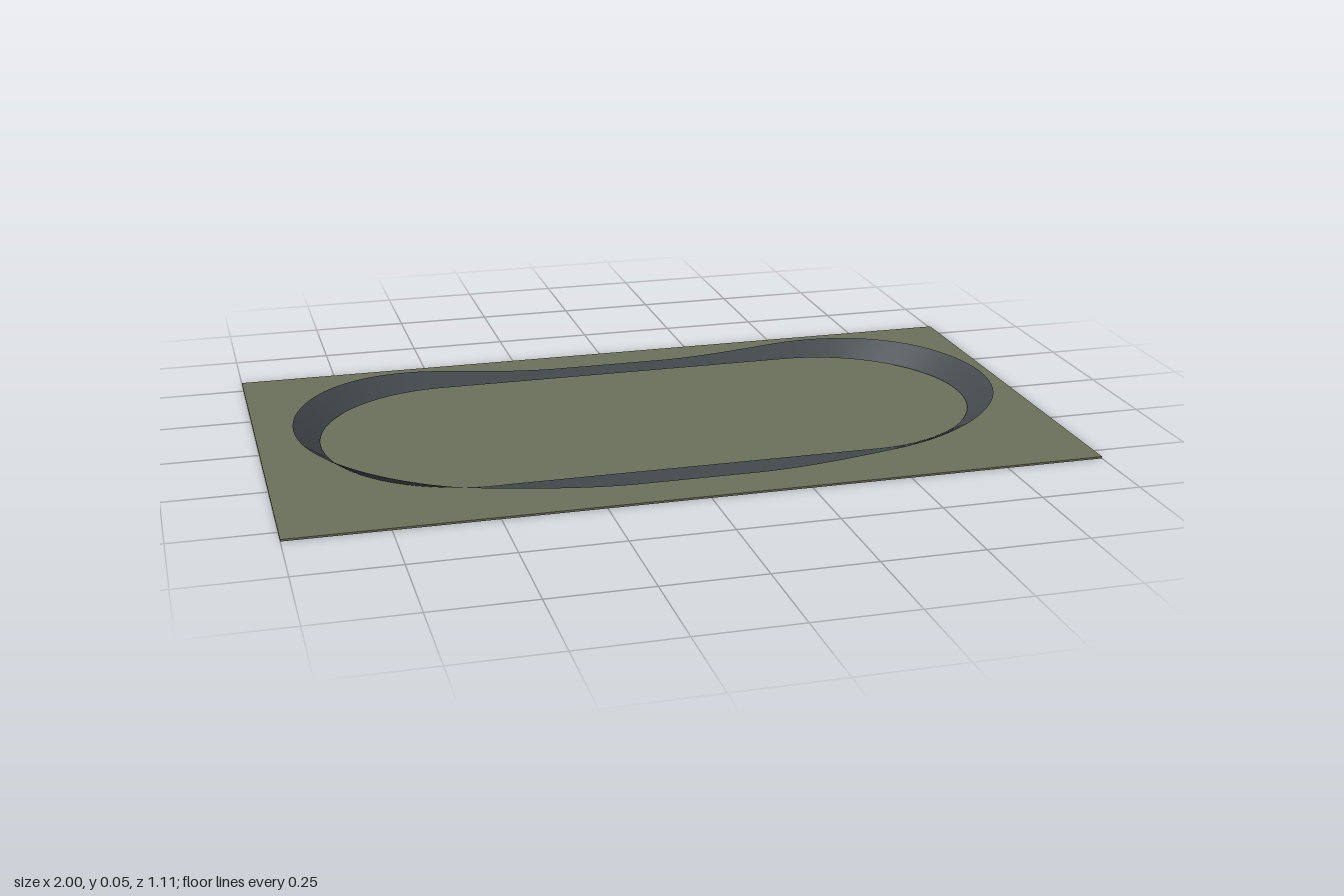
import * as THREE from 'three';

const HALF_STRAIGHT = 0.482; // half length of each straight
const RADIUS = 0.366;        // inner radius of the turns
const WIDTH = 0.08;          // width of the road surface
const MAX_BANK = 0.62;       // bank angle in the turns, radians
const GROUND = 0.005;
const ROAD_Y = 0.008;

// Half of the oval: a banked ribbon from one turn apex to the other
function halfTrack() {
  const quarter = HALF_STRAIGHT + RADIUS * Math.PI / 2;
  const steps = 120;
  const positions = [], indices = [];
  for (let i = 0; i <= steps; i++) {
    const s = (i / steps * 2 - 1) * quarter;
    const d = Math.abs(s), side = Math.sign(s);
    const angle = Math.max(0, d - HALF_STRAIGHT) / RADIUS;
    const bank = MAX_BANK * THREE.MathUtils.smoothstep(d, 0.14, 0.86);
    for (const w of [0, WIDTH]) {
      const r = RADIUS + w * Math.cos(bank);
      positions.push(
        side * (Math.min(d, HALF_STRAIGHT) + r * Math.sin(angle)),
        ROAD_Y + w * Math.sin(bank),
        r * Math.cos(angle));
    }
    if (i < steps) {
      const a = i * 2;
      indices.push(a, a + 1, a + 2, a + 1, a + 3, a + 2);
    }
  }
  const geometry = new THREE.BufferGeometry();
  geometry.setAttribute('position', new THREE.Float32BufferAttribute(positions, 3));
  geometry.setIndex(indices);
  geometry.computeVertexNormals();
  return geometry;
}

export function createModel() {
  const model = new THREE.Group();
  model.name = 'bankedOvalTrack';

  const grass = new THREE.MeshStandardMaterial({ color: 0x6b705c });
  grass.name = 'olive ground';
  const asphalt = new THREE.MeshStandardMaterial({ color: 0x43484c, side: THREE.DoubleSide });
  asphalt.name = 'dark asphalt';

  // Flat ground slab
  const ground = new THREE.Mesh(new THREE.BoxGeometry(2, GROUND, 1.108), grass);
  ground.name = 'ground';
  ground.position.y = GROUND / 2;
  model.add(ground);

  // Two matching halves of the road
  const road = halfTrack();
  ['frontTrack', 'backTrack'].forEach((name, i) => {
    const half = new THREE.Mesh(road, asphalt);
    half.name = name;
    half.rotation.y = i * Math.PI;
    model.add(half);
  });
  return model;
}
